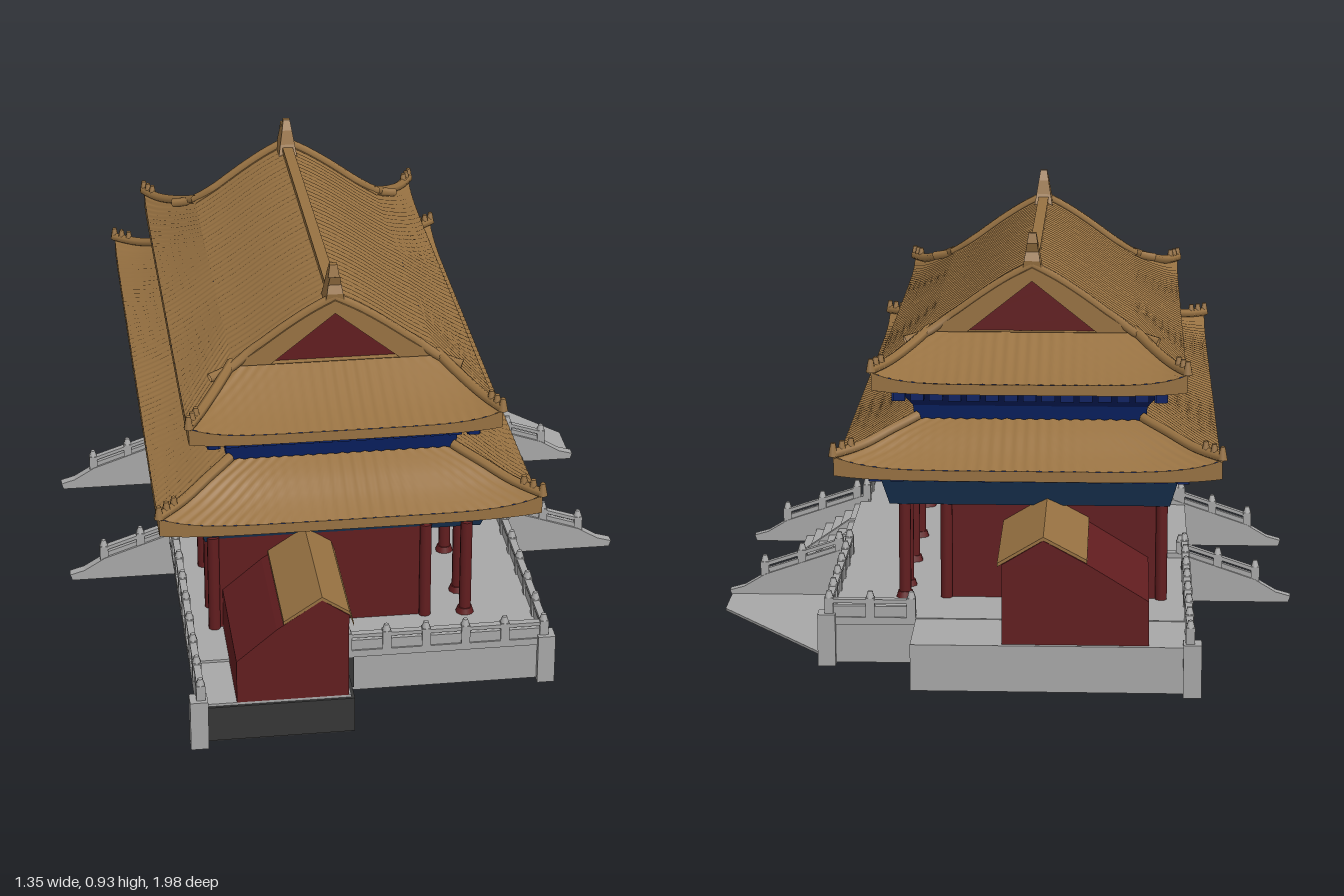
import * as THREE from 'three';

const mat = (name, color, side = THREE.FrontSide) => new THREE.MeshStandardMaterial({ name, color, side });
const gold = mat('golden tile', 0x987242, THREE.DoubleSide);
const red = mat('red wall', 0x621d1f);
const deepBlue = mat('deep blue paint', 0x092163, THREE.DoubleSide);
const slateBlue = mat('slate blue paint', 0x1e3d61, THREE.DoubleSide);
const stone = mat('grey stone', 0xa8a8a8);
const dark = mat('dark stone', 0x363636);

function add(parent, name, geo, material, x = 0, y = 0, z = 0) {
  const m = new THREE.Mesh(geo, material);
  m.name = name;
  m.position.set(x, y, z);
  parent.add(m);
  return m;
}

// Box given by its lower and upper corners
function block(parent, name, material, x0, x1, y0, y1, z0, z1) {
  return add(parent, name, new THREE.BoxGeometry(x1 - x0, y1 - y0, z1 - z0), material,
    (x0 + x1) / 2, (y0 + y1) / 2, (z0 + z1) / 2);
}

// Box whose top and bottom rectangles differ (half sizes)
function flare(parent, name, material, x0, z0, y0, x1, z1, y1) {
  const g = new THREE.BoxGeometry(2, 2, 2), p = g.attributes.position;
  for (let i = 0; i < p.count; i++) {
    const up = p.getY(i) > 0;
    p.setXYZ(i, p.getX(i) * (up ? x1 : x0), up ? y1 : y0, p.getZ(i) * (up ? z1 : z0));
  }
  g.computeVertexNormals();
  return add(parent, name, g, material);
}

// Surface sampled from f(u, v), u and v in 0..1
function sheet(nu, nv, f) {
  const pos = [], idx = [];
  for (let j = 0; j <= nv; j++) for (let i = 0; i <= nu; i++) pos.push(...f(i / nu, j / nv).toArray());
  for (let j = 0; j < nv; j++) for (let i = 0; i < nu; i++) {
    const a = j * (nu + 1) + i, b = a + nu + 1;
    idx.push(a, b, a + 1, b, b + 1, a + 1);
  }
  const g = new THREE.BufferGeometry();
  g.setAttribute('position', new THREE.Float32BufferAttribute(pos, 3));
  g.setIndex(idx);
  g.computeVertexNormals();
  return g;
}

const polygon = (pts) => new THREE.Shape(pts.map(([x, y]) => new THREE.Vector2(x, y)));
const extrude = (shape, depth) => new THREE.ExtrudeGeometry(shape, { depth, bevelEnabled: false });
const tube = (pts, r, n = 16) => new THREE.TubeGeometry(new THREE.CatmullRomCurve3(pts), n, r, 6);

// Hipped skirt roof with upturned corners; profile holds [half x, y, half z] from top to eave
function skirtRoof(parent, name, profile, lift, band) {
  const g = new THREE.Group();
  g.name = name;
  parent.add(g);
  const curve = new THREE.CatmullRomCurve3(profile.map((p) => new THREE.Vector3(...p)));
  const at = (side, u, t, ripple = 0, rise = lift) => {
    const c = curve.getPoint(t), long = side < 2, s = side % 2 ? -1 : 1, w = u * 2 - 1;
    const along = w * (long ? c.z : c.x);
    const y = c.y + rise * t * t * Math.abs(w) ** (long ? 12 : 6) + ripple * Math.cos(along * Math.PI * 2 / 0.026);
    return long ? new THREE.Vector3(s * c.x, y, along) : new THREE.Vector3(along, y, s * c.z);
  };
  const under = (side, u) => at(side, u, 1, 0, lift * 0.35).add(new THREE.Vector3(0, -0.024, 0));
  for (let side = 0; side < 4; side++) {
    const n = side < 2 ? 240 : 130;
    add(g, 'roofSlope', sheet(n, 7, (u, t) => at(side, u, t, 0.0015)), gold);
    add(g, 'eaveEdge', sheet(48, 1, (u, t) => at(side, u, 1).lerp(under(side, u), t)), gold);
    add(g, 'soffit', sheet(48, 1, (u, t) => {
      const w = u * 2 - 1, s = side % 2 ? -1 : 1;
      const inner = side < 2 ? new THREE.Vector3(s * band[0], band[1], w * band[2])
        : new THREE.Vector3(w * band[0], band[1], s * band[2]);
      return under(side, u).lerp(inner, t);
    }), deepBlue);
  }
  // Hip ridges with end beasts
  for (const side of [0, 1]) for (const u of [0, 1]) {
    const pts = [];
    for (let i = 0; i <= 8; i++) pts.push(at(side, u, i / 8).add(new THREE.Vector3(0, 0.006, 0)));
    add(g, 'hipRidge', tube(pts, 0.012), gold);
    for (const t of [0.8, 0.9, 1]) {
      const p = at(side, u, t);
      add(g, 'ridgeBeast', new THREE.CylinderGeometry(0.006, 0.012, 0.03, 6), gold, p.x, p.y + 0.016, p.z);
    }
  }
}

// Row of bracket blocks around a band
function brackets(parent, hx, y, hz) {
  for (const s of [-1, 1]) {
    for (let i = -15; i <= 15; i++) add(parent, 'bracket', new THREE.BoxGeometry(0.024, 0.025, 0.03), deepBlue, s * hx, y, i * hz / 15);
    for (let i = -7; i <= 7; i++) add(parent, 'bracket', new THREE.BoxGeometry(0.03, 0.025, 0.024), deepBlue, i * hx / 7, y, s * hz);
  }
}

// Stone balustrade between two points, following their slope
function railing(parent, x0, y0, z0, x1, y1, z1) {
  const a = new THREE.Vector3(x0, y0, z0), b = new THREE.Vector3(x1, y1, z1);
  const len = Math.hypot(x1 - x0, z1 - z0), n = Math.max(1, Math.round(len / 0.1));
  const alongX = Math.abs(x1 - x0) > Math.abs(z1 - z0);
  const g = new THREE.Group();
  g.name = 'railing';
  parent.add(g);
  for (let i = 0; i <= n; i++) {
    const p = a.clone().lerp(b, i / n);
    add(g, 'railPost', new THREE.BoxGeometry(0.02, 0.046, 0.02), stone, p.x, p.y + 0.023, p.z);
    add(g, 'postFinial', new THREE.CylinderGeometry(0.006, 0.011, 0.016, 6), stone, p.x, p.y + 0.053, p.z);
  }
  for (const [bottom, top, w] of [[0, 0.027, 0.012], [0.034, 0.043, 0.016]]) {
    const outline = alongX ? [[x0, y0], [x1, y1]] : [[-z0, y0], [-z1, y1]];
    const [p, q] = outline[0][0] < outline[1][0] ? outline : [outline[1], outline[0]];
    const geo = extrude(polygon([[p[0], p[1] + bottom], [q[0], q[1] + bottom], [q[0], q[1] + top], [p[0], p[1] + top]]), w);
    geo.translate(0, 0, -w / 2);
    const m = add(g, 'railPanel', geo, stone, alongX ? 0 : x0, 0, alongX ? z0 : 0);
    if (!alongX) m.rotation.y = Math.PI / 2;
  }
}

function buildTerrace(root) {
  const g = new THREE.Group();
  g.name = 'terrace';
  root.add(g);
  block(g, 'platform', stone, -0.42, 0.39, 0.005, 0.11, -0.79, 0.79);
  block(g, 'platformLip', stone, -0.43, 0.4, 0.095, 0.112, -0.795, 0.795);
  block(g, 'backTerrace', stone, -0.42, 0.19, 0.005, 0.11, -0.98, -0.79);
  block(g, 'frontTerrace', stone, -0.42, -0.085, 0.01, 0.106, 0.79, 0.97);
  // Dark facing on the front terrace and the corner beside it
  block(g, 'frontFacing', dark, -0.41, -0.077, 0.015, 0.1, 0.97, 0.976);
  block(g, 'sideFacing', dark, -0.085, -0.077, 0.015, 0.1, 0.79, 0.976);
  block(g, 'cornerFacing', dark, -0.077, -0.055, 0.015, 0.095, 0.789, 0.794);
  // Low paved wedge beside the stairs
  const apron = extrude(polygon([[0.39, 0.77], [0.39, 0.28], [0.67, 0.28], [0.67, 0.42]]), 0.006);
  add(g, 'apron', apron, stone, 0, 0.005, 0).rotation.x = -Math.PI / 2;
  // Stairs with two low dividing kerbs
  for (let i = 0; i < 6; i++) block(g, 'step', stone, 0.38, 0.415 + i * 0.025, 0.004, 0.105 - i * 0.017, -0.28, 0.18);
  for (const z of [-0.12, 0.01]) {
    const kerb = extrude(polygon([[0.39, 0.01], [0.545, 0.01], [0.545, 0.02], [0.415, 0.11], [0.39, 0.11]]), 0.015);
    add(g, 'stairKerb', kerb, stone, 0, 0, z);
  }
  // Sloped stair flanks on both long sides
  for (const s of [-1, 1]) for (const z of [-0.29, 0.19]) {
    const pts = [[0.38, 0.005], [0.67, 0.005], [0.675, 0.02], [0.64, 0.03], [0.59, 0.06], [0.4, 0.125], [0.38, 0.125]].map(([x, y]) => [s * x, y]);
    add(g, 'stairFlank', extrude(polygon(pts), 0.024), stone, 0, 0, z - 0.012);
    railing(g, s * 0.41, 0.105, z, s * 0.59, 0.045, z);
  }
  for (const [x, z0, z1] of [[0.385, 0.19, 0.785], [0.385, -0.785, -0.29], [-0.42, 0.19, 0.965], [-0.42, -0.975, -0.29]])
    railing(g, x, 0.11, z0, x, 0.11, z1);
  railing(g, -0.07, 0.11, 0.785, 0.385, 0.11, 0.785);
  railing(g, 0.2, 0.11, -0.785, 0.385, 0.11, -0.785);
  for (const [x, z] of [[0.39, 0.785], [0.39, -0.785], [-0.425, 0.965], [-0.425, -0.975]])
    block(g, 'cornerPier', stone, x - 0.02, x + 0.02, 0, 0.12, z - 0.02, z + 0.02);
}

// Side wall with a tiled cap: wall outline plus the line the cap follows
function sideWall(root, z, outline, cap) {
  const g = new THREE.Group();
  g.name = 'sideWall';
  root.add(g);
  add(g, 'wallBody', extrude(polygon(outline), 0.35), red, 0, 0, z);
  const top = cap.map(([x, y]) => [x, y + 0.008]);
  add(g, 'wallCap', extrude(polygon([...cap, ...top.reverse()]), 0.354), gold, 0, 0, z - 0.002);
}

function buildHall(root) {
  const hall = new THREE.Group();
  hall.name = 'hall';
  hall.position.x = -0.06;
  root.add(hall);
  // Walls, columns and porch
  block(hall, 'hallWall', red, -0.3, 0.19, 0.1, 0.36, -0.63, 0.65);
  block(hall, 'door', dark, 0.189, 0.197, 0.13, 0.22, -0.035, 0.05);
  const rows = [0.65, 0.55, 0.355, 0.15, -0.13, -0.34, -0.54, -0.63];
  rows.forEach((z, i) => {
    add(hall, 'porchColumn', new THREE.CylinderGeometry(0.014, 0.014, 0.25, 10), red, 0.285, 0.225, z);
    add(hall, 'columnBase', new THREE.CylinderGeometry(0.017, 0.022, 0.016, 10), red, 0.285, 0.118, z);
    for (const x of [-0.3, 0.19]) add(hall, 'wallColumn', new THREE.CylinderGeometry(0.014, 0.014, 0.25, 10), red, x, 0.225, z);
    if (i === rows.length - 1) return;
    const z1 = rows[i + 1];
    block(hall, 'panelHead', red, 0.19, 0.202, 0.29, 0.31, z1, z);
    block(hall, 'panelSill', red, 0.19, 0.202, 0.11, 0.135, z1, z1 + (z - z1) * 0.33);
    block(hall, 'panelSill', red, 0.19, 0.202, 0.11, 0.135, z - (z - z1) * 0.33, z);
    // Porch beam with angled braces at the column heads
    const brace = extrude(polygon([[-z, 0.345], [-z, 0.305], [-z + 0.035, 0.322], [-z1 - 0.035, 0.322], [-z1, 0.305], [-z1, 0.345]]), 0.016);
    add(hall, 'porchBeam', brace, slateBlue, 0.277, 0, 0).rotation.y = Math.PI / 2;
  });
  // Lower painted band and roof
  flare(hall, 'lowerBand', slateBlue, 0.318, 0.645, 0.335, 0.345, 0.705, 0.445);
  brackets(hall, 0.345, 0.418, 0.7);
  skirtRoof(hall, 'lowerRoof', [[0.255, 0.53, 0.62], [0.31, 0.508, 0.675], [0.37, 0.477, 0.735], [0.43, 0.453, 0.795]], 0.03,
    [0.345, 0.44, 0.7]);
  // Upper painted band and roof skirt
  flare(hall, 'upperBand', deepBlue, 0.26, 0.61, 0.5, 0.265, 0.62, 0.562);
  flare(hall, 'upperBandFlare', deepBlue, 0.265, 0.62, 0.56, 0.31, 0.665, 0.622);
  brackets(hall, 0.295, 0.592, 0.65);
  skirtRoof(hall, 'upperRoofSkirt', [[0.235, 0.705, 0.49], [0.28, 0.673, 0.565], [0.32, 0.646, 0.635], [0.353, 0.627, 0.7]], 0.026,
    [0.305, 0.614, 0.66]);
  // Upper slopes meeting at the main ridge
  const slope = new THREE.CatmullRomCurve3([[0, 0.855], [0.055, 0.826], [0.115, 0.787], [0.18, 0.74], [0.235, 0.705]]
    .map(([x, y]) => new THREE.Vector3(x, y, 0)));
  const rim = slope.getPoints(10);
  for (const s of [-1, 1]) {
    add(hall, 'upperSlope', sheet(220, 8, (u, t) => {
      const p = slope.getPoint(t), z = u - 0.5;
      return new THREE.Vector3(s * p.x, p.y + 0.0015 * Math.cos(z * Math.PI * 2 / 0.026), z);
    }), gold);
    // Gable wall, its tiled border and the descending ridges
    const gable = polygon([...rim.map((p) => [p.x, p.y]), ...rim.slice(1).reverse().map((p) => [-p.x, p.y])]);
    add(hall, 'gableWall', extrude(gable, 0.02), red, 0, -0.006, s * 0.475 - 0.01);
    const border = gable.clone();
    border.holes.push(new THREE.Path([[-0.148, 0.706], [0.148, 0.706], [0, 0.824]].map(([x, y]) => new THREE.Vector2(x, y))));
    add(hall, 'gableBorder', extrude(border, 0.025), gold, 0, 0, s * 0.49 - 0.0125);
    for (const m of [-1, 1]) add(hall, 'gableRidge', tube([...rim.slice(0, 9).map((p) => new THREE.Vector3(m * p.x, p.y + 0.005, s * 0.49)),
      new THREE.Vector3(m * 0.245, 0.702, s * 0.508), new THREE.Vector3(m * 0.29, 0.69, s * 0.525)], 0.011), gold);
    // Horned ridge ornament
    const fin = polygon([[-0.04, 0.83], [0.03, 0.83], [0.035, 0.87], [0.028, 0.89], [0.035, 0.912], [0.012, 0.902], [0.006, 0.93],
      [-0.008, 0.93], [-0.018, 0.905], [-0.026, 0.87]].map(([x, y]) => [-s * x, y]));
    const geo = extrude(fin, 1), p = geo.attributes.position;
    for (let i = 0; i < p.count; i++) p.setZ(i, (p.getZ(i) - 0.5) * (0.05 - (p.getY(i) - 0.83) * 0.33));
    geo.computeVertexNormals();
    add(hall, 'ridgeOrnament', geo, gold, 0, 0, s * 0.465).rotation.y = Math.PI / 2;
  }
  block(hall, 'mainRidge', gold, -0.013, 0.013, 0.835, 0.863, -0.48, 0.48);
}

export function createModel() {
  const root = new THREE.Group();
  root.name = 'palaceHall';
  buildTerrace(root);
  buildHall(root);
  sideWall(root, 0.62, [[-0.34, 0.1], [-0.09, 0.1], [-0.09, 0.31], [-0.15, 0.352], [-0.25, 0.285], [-0.34, 0.21]],
    [[-0.235, 0.297], [-0.15, 0.353], [-0.089, 0.312], [-0.08, 0.284]]);
  sideWall(root, -0.97, [[-0.33, 0.1], [-0.01, 0.1], [-0.01, 0.29], [-0.1, 0.345], [-0.2, 0.29], [-0.33, 0.21]],
    [[-0.195, 0.295], [-0.1, 0.346], [0, 0.286]]);
  return root;
}
